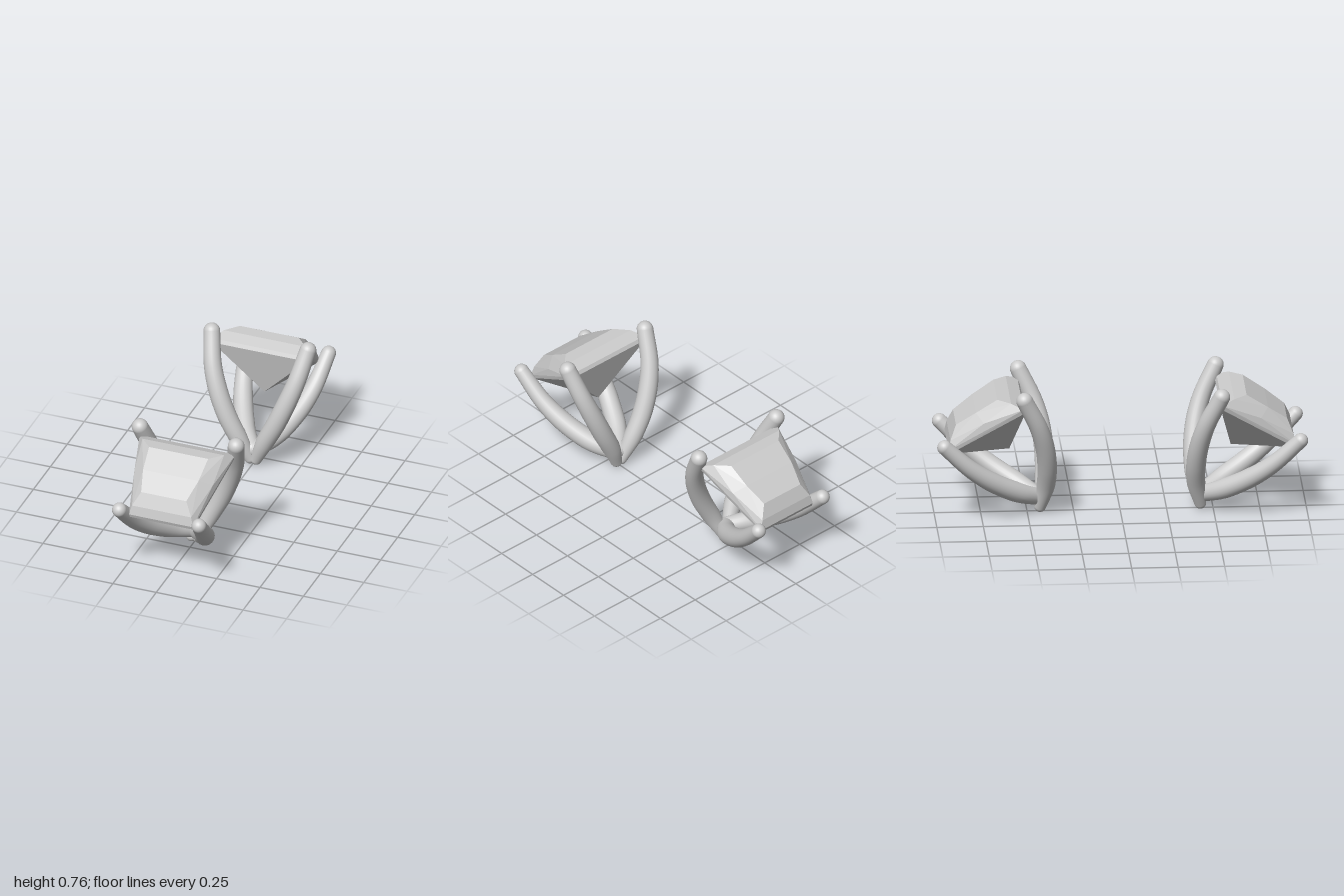
import * as THREE from 'three';
import { ConvexGeometry } from 'three/addons/geometries/ConvexGeometry.js';

const metal = new THREE.MeshStandardMaterial({ color: 0xcccccc });
const stone = new THREE.MeshStandardMaterial({ color: 0xcccccc, flatShading: true });

// Swept prong, listed tip to base, with its own radius along the way and round ends
function prong(name, points, radii, side) {
  const group = new THREE.Group();
  group.name = name;
  const curve = new THREE.CatmullRomCurve3(points.map(([x, y, z]) => new THREE.Vector3(x * side, y, z)));
  const rings = 48, sides = 24;
  const geo = new THREE.TubeGeometry(curve, rings, 1, sides);
  const pos = geo.attributes.position, v = new THREE.Vector3();
  for (let i = 0; i <= rings; i++) {
    const centre = curve.getPointAt(i / rings);
    const f = (i / rings) * (radii.length - 1);
    const k = Math.min(Math.floor(f), radii.length - 2);
    const r = THREE.MathUtils.lerp(radii[k], radii[k + 1], f - k);
    for (let j = 0; j <= sides; j++) {
      const n = i * (sides + 1) + j;
      v.fromBufferAttribute(pos, n).sub(centre).multiplyScalar(r).add(centre);
      pos.setXYZ(n, v.x, v.y, v.z);
    }
  }
  geo.computeBoundingSphere();
  const shaft = new THREE.Mesh(geo, metal);
  shaft.name = 'prongShaft';
  group.add(shaft);
  [[0, radii[0]], [1, radii[radii.length - 1]]].forEach(([t, r]) => {
    const end = new THREE.Mesh(new THREE.SphereGeometry(r, 24, 16), metal);
    end.position.copy(curve.getPointAt(t));
    end.name = t ? 'prongBase' : 'prongTip';
    group.add(end);
  });
  return group;
}

// Faceted stone: half outline of each level, mirrored in x
function gem() {
  const half = [
    [0.17, 0.69, 0.67], [0.16, 0.615, 0.785], [0.13, 0.54, 0.89],     // table
    [0.235, 0.688, 0.6], [0.225, 0.575, 0.745], [0.17, 0.465, 0.922], // crown
    [0.277, 0.665, 0.535], [0.185, 0.412, 0.932],                     // girdle top
    [0.272, 0.645, 0.525], [0.182, 0.393, 0.925],                     // girdle bottom
    [0, 0.357, 0.595],                                               // culet
  ];
  const points = half.flatMap(([x, y, z]) =>
    x ? [new THREE.Vector3(x, y, z), new THREE.Vector3(-x, y, z)] : [new THREE.Vector3(x, y, z)]);
  const mesh = new THREE.Mesh(new ConvexGeometry(points), stone);
  mesh.name = 'gem';
  return mesh;
}

// One stone held by four prongs that meet at the base
function setting(name) {
  const group = new THREE.Group();
  group.name = name;
  const upper = [[0.277, 0.715, 0.53], [0.24, 0.55, 0.452], [0.195, 0.42, 0.415],
    [0.14, 0.29, 0.4], [0.075, 0.16, 0.405], [0.018, 0.033, 0.43]];
  const lower = [[0.229, 0.445, 0.957], [0.2, 0.305, 0.81], [0.155, 0.21, 0.68],
    [0.085, 0.13, 0.54], [0.01, 0.085, 0.445]];
  for (const side of [1, -1]) {
    const label = side > 0 ? 'left' : 'right';
    group.add(prong(label + 'UpperProng', upper, [0.045, 0.048, 0.052, 0.053, 0.05, 0.032], side));
    group.add(prong(label + 'LowerProng', lower, [0.04, 0.046, 0.053, 0.055, 0.045], side));
  }
  group.add(gem());
  return group;
}

export function createModel() {
  const model = new THREE.Group();
  model.name = 'gemSettingPair';
  const front = setting('frontSetting');
  const back = setting('backSetting');
  back.rotation.y = Math.PI;
  model.add(front, back);
  return model;
}
